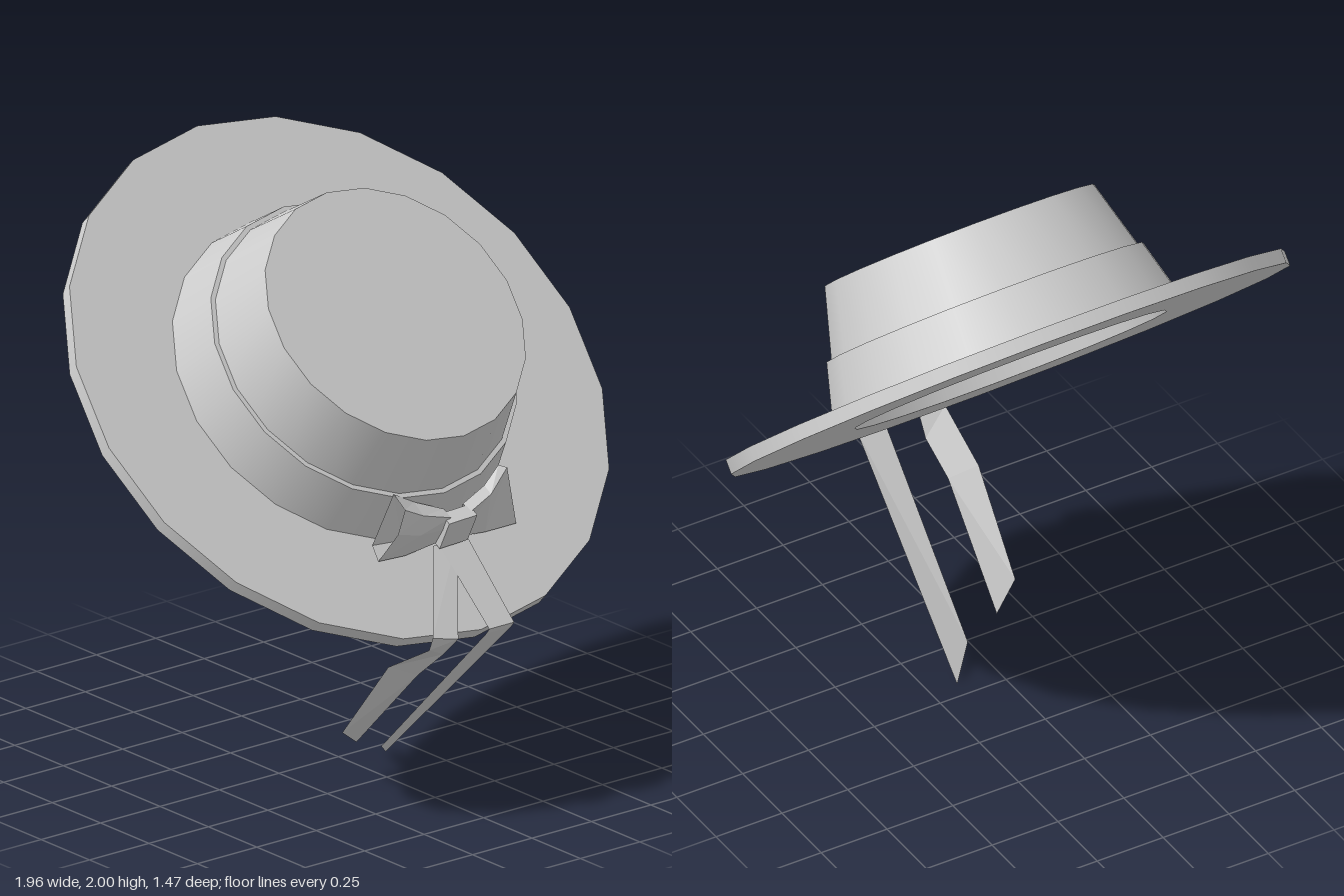
import * as THREE from 'three';

const SIDES = 20;
const solid = new THREE.MeshStandardMaterial({ color: 0xcccccc });
const cloth = new THREE.MeshStandardMaterial({ color: 0xcccccc, side: THREE.DoubleSide, flatShading: true });

// Revolves each straight profile segment separately, keeping the edges between them crisp
function revolve(name, profile) {
  const part = new THREE.Group();
  part.name = name;
  for (let i = 0; i < profile.length - 1; i++) {
    const pts = [profile[i], profile[i + 1]].map(([r, y]) => new THREE.Vector2(r, y));
    const mesh = new THREE.Mesh(new THREE.LatheGeometry(pts, SIDES, 0.021), solid);
    mesh.name = name + 'Surface';
    part.add(mesh);
  }
  return part;
}

// Joins rows of points into a skin; closed rows wrap round into a loop
function loft(name, rows, closed) {
  const n = rows[0].length;
  const index = [];
  for (let r = 0; r < rows.length - 1; r++) {
    for (let i = 0; i < (closed ? n : n - 1); i++) {
      const a = r * n + i, b = r * n + (i + 1) % n;
      index.push(a, a + n, b, b, a + n, b + n);
    }
  }
  const geo = new THREE.BufferGeometry();
  geo.setAttribute('position', new THREE.Float32BufferAttribute(rows.flat(2), 3));
  geo.setIndex(index);
  geo.computeVertexNormals();
  const mesh = new THREE.Mesh(geo, cloth);
  mesh.name = name;
  return mesh;
}

export function createModel() {
  const model = new THREE.Group();
  model.name = 'strawHat';

  // Tilted hat, with the top of the brim at local y = 0
  const hat = new THREE.Group();
  hat.name = 'hat';
  hat.position.set(0, 1.317, 0.005);
  hat.rotation.x = 0.764;
  model.add(hat);

  hat.add(revolve('brim', [[0.547, -0.05], [0.981, -0.05], [0.981, 0], [0.59, 0]]));
  hat.add(revolve('crown', [[0.592, 0], [0.474, 0.419], [0, 0.419]]));
  hat.add(revolve('lining', [[0, 0.39], [0.455, 0.39], [0.547, -0.05]]));
  hat.add(revolve('hatBand', [[0.607, 0], [0.557, 0.184], [0.535, 0.184]]));

  // Bow wings: open loops flaring from the knot
  hat.add(loft('rightBowLoop', [
    [[-0.19, 0.2, 0.52], [-0.18, 0.2, 0.585], [-0.2, 0.13, 0.635], [-0.23, 0.01, 0.66], [-0.22, 0.01, 0.6]],
    [[-0.1, 0.16, 0.55], [-0.1, 0.17, 0.61], [-0.1, 0.11, 0.65], [-0.12, 0.01, 0.665], [-0.1, 0.01, 0.61]],
    [[0.02, 0.13, 0.59], [0.02, 0.14, 0.63], [0.02, 0.09, 0.645], [0.01, 0.02, 0.655], [0.01, 0.03, 0.61]],
  ], true));
  hat.add(loft('leftBowLoop', [
    [[0.1, 0.13, 0.59], [0.1, 0.14, 0.63], [0.11, 0.02, 0.655], [0.11, 0.03, 0.61]],
    [[0.19, 0.16, 0.56], [0.19, 0.17, 0.6], [0.22, 0.01, 0.66], [0.22, 0.01, 0.62]],
    [[0.25, 0.2, 0.52], [0.27, 0.21, 0.54], [0.35, 0.01, 0.66], [0.32, 0.01, 0.63]],
  ], true));

  // Knot
  const knot = new THREE.Mesh(new THREE.BoxGeometry(0.115, 0.12, 0.05), solid);
  knot.name = 'bowKnot';
  knot.position.set(0.062, 0.08, 0.64);
  knot.rotation.set(-0.25, 0, 0.06);
  hat.add(knot);

  // Ribbon tails, folded over the edge of the brim
  model.add(loft('rightRibbonTail', [
    [[0, 0.87, 0.49], [0.1, 0.87, 0.49]],
    [[-0.185, 0.655, 0.715], [-0.09, 0.635, 0.73]],
    [[-0.18, 0.605, 0.69], [-0.07, 0.55, 0.63]],
    [[-0.185, 0.49, 0.485], [-0.09, 0.45, 0.52]],
    [[-0.175, 0.19, 0.235], [-0.075, 0.12, 0.185]],
  ]));
  model.add(loft('leftRibbonTail', [
    [[0.02, 0.88, 0.485], [0.14, 0.87, 0.495]],
    [[0.04, 0.64, 0.73], [0.145, 0.64, 0.73]],
    [[0.04, 0.62, 0.715], [0.145, 0.62, 0.715]],
    [[0.05, 0.07, 0.16], [0.15, 0, 0.06]],
  ]));

  return model;
}
